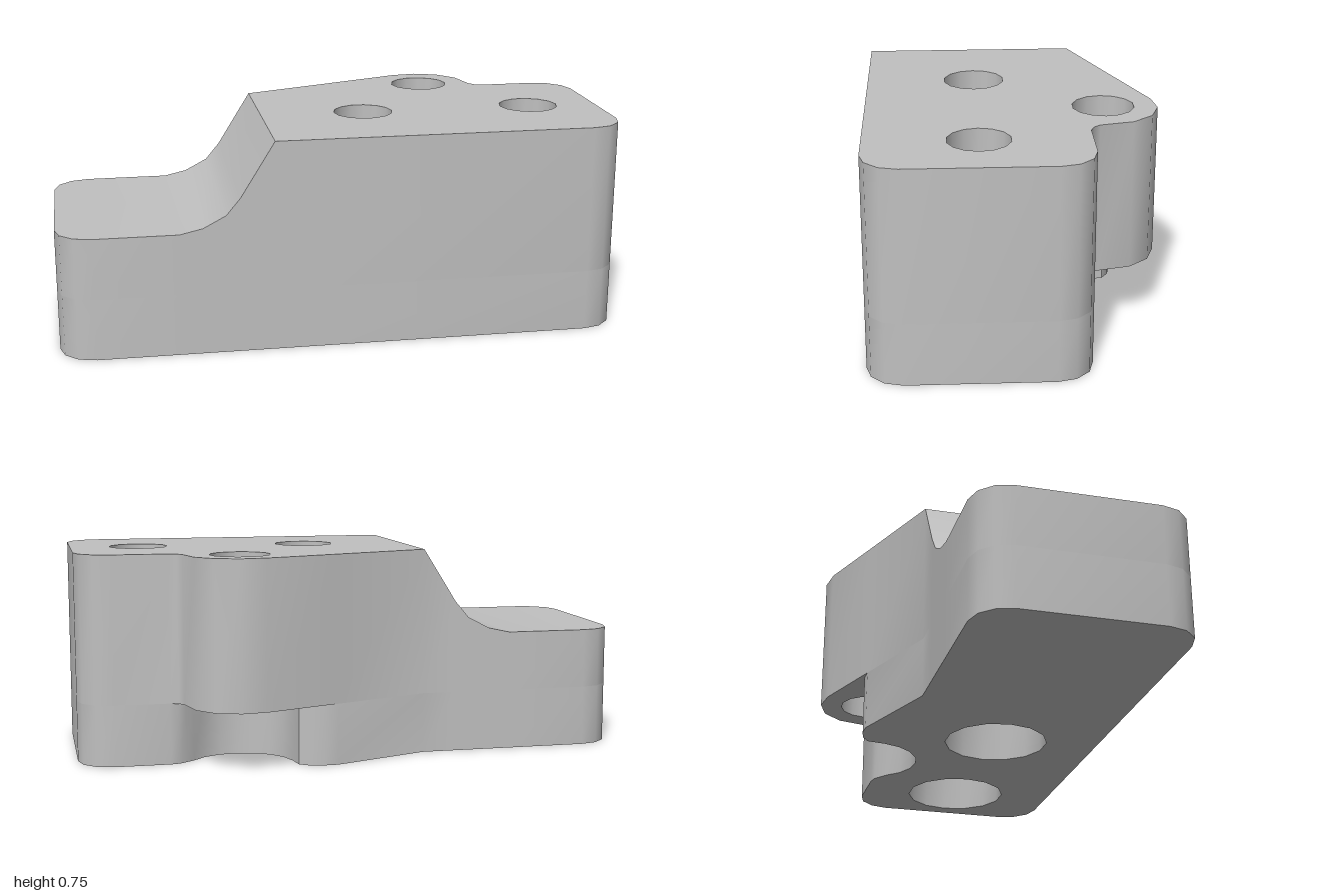
import * as THREE from 'three';
import { mergeGeometries, toCreasedNormals } from 'three/addons/utils/BufferGeometryUtils.js';

const HEIGHT = 0.75, DECK = 0.437, LEDGE = 0.22;
const BORE = 0.107, POCKET = 0.192;

// Side profile of the rise from the low deck to the top, as [x, y]
const rise = [[-0.58, DECK], [-0.5, 0.455], [-0.42, 0.497], [-0.37, 0.557], [-0.25, HEIGHT]];

const topAt = (x) => {
  const p = rise.find((q) => x <= q[0] + 1e-6);
  return p ? p[1] : HEIGHT;
};

// Points [x, z] along an arc, angles in degrees
function arc(cx, cz, r, from, to, n) {
  return Array.from({ length: n + 1 }, (_, i) => {
    const t = THREE.MathUtils.degToRad(from + ((to - from) * i) / n);
    return [cx + r * Math.cos(t), cz + r * Math.sin(t)];
  });
}
const circle = (c, r) => arc(c[0], c[1], r, 0, 360, 14).slice(0, -1);

function fromTriangles(positions) {
  const g = new THREE.BufferGeometry();
  g.setAttribute('position', new THREE.Float32BufferAttribute(positions, 3));
  return g;
}

// Upright wall around a closed plan outline, from y0 up to top(x)
function wall(outline, y0, top) {
  const p = [];
  outline.forEach(([ax, az], i) => {
    const [bx, bz] = outline[(i + 1) % outline.length];
    const ay = top(ax), by = top(bx);
    p.push(ax, y0, az, bx, y0, bz, bx, by, bz, ax, y0, az, bx, by, bz, ax, ay, az);
  });
  return fromTriangles(p);
}

// Level face at height y, looking up (dir 1) or down (dir -1)
function cap(outline, holes, y, dir) {
  const flat = (pts) => pts.map(([x, z]) => new THREE.Vector2(x, -dir * z));
  const shape = new THREE.Shape(flat(outline));
  holes.forEach((h) => shape.holes.push(new THREE.Path(flat(h))));
  const g = new THREE.ShapeGeometry(shape).rotateX((-dir * Math.PI) / 2).translate(0, y, 0).toNonIndexed();
  g.deleteAttribute('uv');
  g.deleteAttribute('normal');
  return g;
}

// Plan outline with rounded corners; only the rear edge varies
function plan(rear) {
  return [
    ...arc(-0.875, 0.375, 0.125, 180, 90, 3),
    ...rise.map(([x]) => [x, 0.5]),
    ...arc(0.875, 0.375, 0.125, 90, 0, 3),
    ...arc(0.875, -0.125, 0.125, 0, -90, 3),
    ...rear,
    ...rise.map(([x]) => [x, -0.25]).reverse(),
    ...arc(-0.875, -0.125, 0.125, -90, -180, 3),
  ];
}

export function createModel() {
  const group = new THREE.Group();
  const grey = new THREE.MeshStandardMaterial({ color: 0xc0c0c0 });
  grey.name = 'grey';

  const add = (name, parts) => {
    const mesh = new THREE.Mesh(toCreasedNormals(mergeGeometries(parts), 0.6), grey);
    mesh.name = name;
    group.add(mesh);
  };

  const bodyHoles = [[0.125, 0.12], [0.75, 0.12]];
  const lobeHole = [0.435, -0.315];
  const allHoles = [...bodyHoles, lobeHole];

  // Rear edge with the full lobe, and with the notch cut beneath it
  const tip = [0.68, -0.25], flank = [0.1, -0.384];
  const lobe = [[0.65, -0.262], [0.632, -0.285], [0.605, -0.4], [0.545, -0.47], [0.46, -0.5], [0.37, -0.488]];
  const notch = [
    [0.645, -0.243], [0.62, -0.225],
    ...arc(...lobeHole, POCKET, 35, 170, 7),
    [0.235, -0.35], [0.2, -0.375], [0.15, -0.385],
  ];
  const upper = plan([tip, ...lobe, flank]);
  const lower = plan([tip, ...notch, flank]);

  // Outer walls
  add('lowerWalls', [wall(lower, 0, () => LEDGE)]);
  add('upperWalls', [wall(upper, LEDGE, topAt)]);

  // Top, low deck and the curved rise between them
  const slope = [];
  for (let i = 0; i < rise.length - 1; i++) {
    const [ax, ay] = rise[i], [bx, by] = rise[i + 1];
    slope.push(ax, ay, 0.5, bx, by, 0.5, bx, by, -0.25, ax, ay, 0.5, bx, by, -0.25, ax, ay, -0.25);
  }
  add('topSurface', [
    cap(upper.filter(([x]) => x >= -0.25), allHoles.map((c) => circle(c, BORE)), HEIGHT, 1),
    cap(upper.filter(([x]) => x <= -0.58), [], DECK, 1),
    fromTriangles(slope),
  ]);

  // Underside and the ledge below the lobe
  add('underside', [cap(lower, bodyHoles.map((c) => circle(c, POCKET)), 0, -1)]);
  add('lobeLedge', [
    cap([tip, ...lobe, flank, ...[...notch].reverse()], [circle(lobeHole, BORE)], LEDGE, -1),
  ]);

  // Through holes, with wider pockets from below
  add('boltHoles', allHoles.map((c) => wall(circle(c, BORE), LEDGE, () => HEIGHT)));
  add('boltPockets', bodyHoles.flatMap((c) => [
    wall(circle(c, POCKET), 0, () => LEDGE),
    cap(circle(c, POCKET), [circle(c, BORE)], LEDGE, -1),
  ]));

  return group;
}
